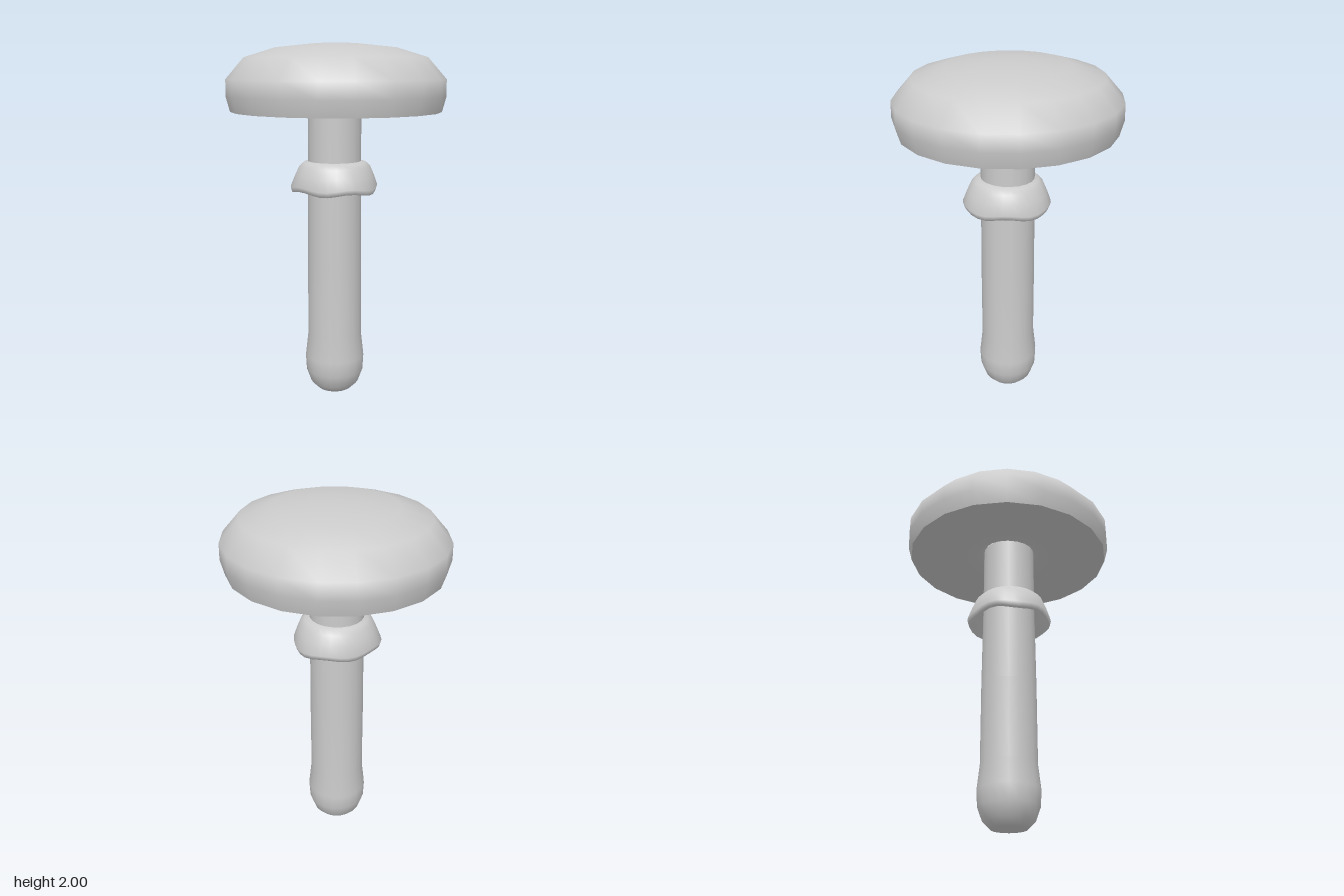
import * as THREE from 'three';
import { mergeVertices } from 'three/addons/utils/BufferGeometryUtils.js';

const material = new THREE.MeshStandardMaterial({ color: 0xcccccc });

// Turned part from [radius, height] pairs, listed from the underside outwards and up
function turned(name, profile, sides) {
  const points = profile.map(([r, y]) => new THREE.Vector2(r, y));
  const mesh = new THREE.Mesh(new THREE.LatheGeometry(points, sides), material);
  mesh.name = name;
  return mesh;
}

// Moves the vertices by a rule and rebuilds seamless smooth normals
function reshape(mesh, rule) {
  const g = mesh.geometry;
  const p = g.attributes.position;
  const v = new THREE.Vector3();
  for (let i = 0; i < p.count; i++) {
    rule(v.fromBufferAttribute(p, i));
    p.setXYZ(i, v.x, v.y, v.z);
  }
  g.deleteAttribute('uv');
  g.deleteAttribute('normal');
  mesh.geometry = mergeVertices(g, 1e-4);
  mesh.geometry.computeVertexNormals();
}

export function createModel() {
  const model = new THREE.Group();
  model.name = 'mushroom';

  // Cap: rounded dome and a separate underside, so the rim stays sharp
  const cap = new THREE.Group();
  cap.name = 'cap';
  cap.add(
    turned('capDome', [
      [0.58, 1.635], [0.602, 1.72], [0.6, 1.81], [0.5, 1.925],
      [0.33, 1.978], [0.12, 2], [0, 2],
    ], 20),
    turned('capUnderside', [
      [0.14, 1.69], [0.17, 1.665], [0.25, 1.65], [0.58, 1.635],
    ], 20),
  );
  cap.scale.z = 1.022;
  model.add(cap);

  // Stem with a swollen foot
  const stem = turned('stem', [
    [0, 0], [0.1, 0.005], [0.14, 0.045], [0.167, 0.12], [0.172, 0.21],
    [0.156, 0.35], [0.155, 0.8], [0.15, 1.3], [0.15, 1.68],
  ], 20);
  stem.position.x = -0.007;
  model.add(stem);

  // Skirt around the stem, with a wavy hem and a hollow inside
  const skirt = turned('skirt', [
    [0.145, 1.29], [0.19, 1.25], [0.222, 1.192], [0.236, 1.193],
    [0.245, 1.22], [0.222, 1.28], [0.2, 1.33], [0.175, 1.352], [0.146, 1.36],
  ], 30);
  reshape(skirt, (v) => {
    const angle = Math.atan2(v.x, v.z);
    const hem = THREE.MathUtils.clamp((1.36 - v.y) / 0.16, 0, 1);
    const wave = Math.cos(5 * angle + 0.6);
    v.y += 0.009 * hem * wave;
    const spread = 1 + 0.03 * hem * Math.cos(3 * angle);
    v.x *= spread;
    v.z *= spread;
  });
  skirt.position.set(-0.007, 0, 0.004);
  model.add(skirt);

  return model;
}
